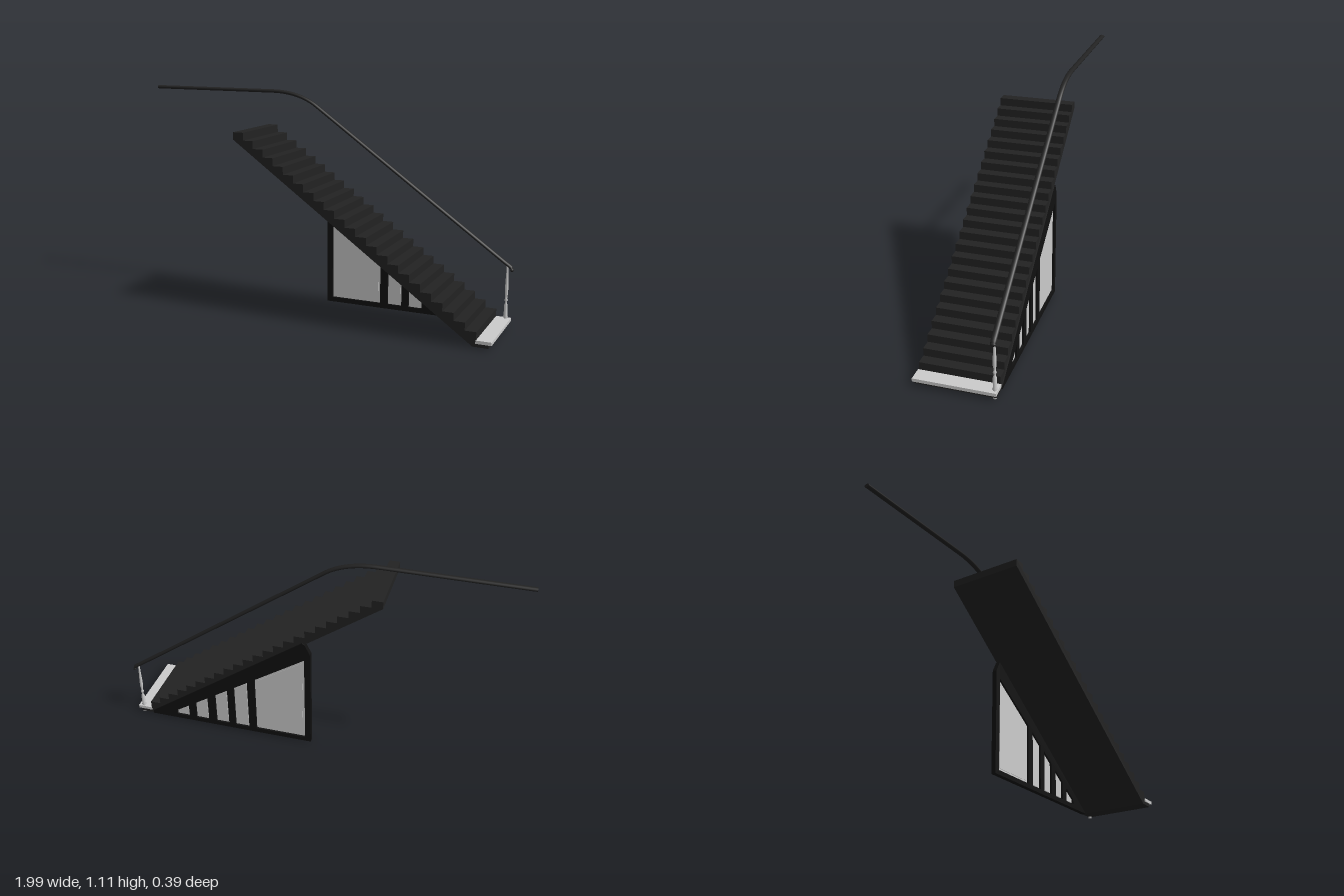
import * as THREE from 'three';

const mat = (color) => new THREE.MeshStandardMaterial({ color, side: THREE.DoubleSide });

export function createModel() {
  const root = new THREE.Group();
  const dark = mat(0x222222), black = mat(0x111111), grey = mat(0xcccccc);

  const add = (name, geometry, material, parent = root) => {
    const mesh = new THREE.Mesh(geometry, material);
    mesh.name = name;
    parent.add(mesh);
    return mesh;
  };
  const toShape = (pts) => new THREE.Shape(pts.map(([x, y]) => new THREE.Vector2(x, y)));
  const slab = (shape, z0, z1) =>
    new THREE.ExtrudeGeometry(shape, { depth: z1 - z0, bevelEnabled: false }).translate(0, 0, z0);

  // Flight of steps: stepped top, straight sloping underside
  const steps = 23, xTop = -0.33, yTop = 0.922, xEnd = 0.912, yEnd = 0.04;
  const run = (xEnd - xTop) / steps, rise = (yTop - yEnd) / steps;
  const profile = [[xTop, 0.885]];
  for (let i = 0; i < steps; i++) {
    const y = yTop - i * rise;
    profile.push([xTop + i * run, y], [xTop + (i + 1) * run, y]);
  }
  profile.push([xEnd, 0.026], [0.97, 0.026], [0.97, 0.008], [0.895, 0.008]);
  add('stairFlight', slab(toShape(profile), -0.185, 0.193), dark);

  // Pale bottom tread
  add('bottomTread', new THREE.BoxGeometry(0.075, 0.016, 0.386).translate(0.9475, 0.033, 0.005), grey);

  // Triangular wall under the flight, with openings cut along the slope
  const wall = new THREE.Group();
  wall.name = 'underStairWall';
  root.add(wall);
  const topLine = (x) => 0.522 - 0.655 * (x - 0.05);
  const panel = (x0, x1, inset) => {
    const a = x0 + inset, b = x1 - inset, d = inset * 1.2;
    return [[a, 0.032 + inset], [b, 0.032 + inset], [b, topLine(b) - d], [a, topLine(a) - d]];
  };
  const openings = [[0.05, 0.315], [0.355, 0.43], [0.467, 0.537], [0.58, 0.65], [0.69, 0.76]];
  const frame = toShape([[0.02, 0.008], [0.9, 0.008], [0.9, 0.025], [0.06, 0.622], [0.047, 0.615], [0.02, 0.56]]);
  for (const [x0, x1] of openings) {
    frame.holes.push(new THREE.Path(toShape(panel(x0, x1, 0)).getPoints()));
  }
  add('wallFrame', slab(frame, -0.19, -0.165), black, wall);
  for (const [x0, x1] of openings) {
    const inset = x1 - x0 > 0.2 ? 0.014 : 0.007;
    add('panel', slab(toShape(panel(x0, x1, 0)), -0.18, -0.175), grey, wall);
    add('raisedPanelField', slab(toShape(panel(x0, x1, inset)), -0.182, -0.173), grey, wall);
  }

  // Turned baluster at the foot of the flight
  const turning = [
    [0, 0], [0.009, 0], [0.009, 0.045], [0.012, 0.047], [0.009, 0.055], [0.009, 0.105], [0.005, 0.115],
    [0.005, 0.125], [0.009, 0.132], [0.005, 0.14], [0.005, 0.15], [0.008, 0.165],
    [0.008, 0.2], [0.005, 0.27], [0.005, 0.31], [0, 0.31],
  ].map(([r, y]) => new THREE.Vector2(r, y));
  add('baluster', new THREE.LatheGeometry(turning, 16), grey).position.set(0.96, 0, -0.175);

  // Handrail: level, bend, slope, and a small downturned end
  const v = (x, y) => new THREE.Vector3(x, y, 0);
  const path = new THREE.CurvePath();
  path.add(new THREE.LineCurve3(v(-1, 1.097), v(-0.3, 1.097)));
  path.add(new THREE.QuadraticBezierCurve3(v(-0.3, 1.097), v(-0.148, 1.097), v(-0.05, 1.028)));
  path.add(new THREE.LineCurve3(v(-0.05, 1.028), v(0.95, 0.315)));
  path.add(new THREE.QuadraticBezierCurve3(v(0.95, 0.315), v(0.989, 0.292), v(0.982, 0.284)));
  const rail = new THREE.Group();
  rail.name = 'handrail';
  rail.position.z = -0.177;
  rail.scale.z = 1.5;
  root.add(rail);
  const r = 0.009;
  add('railBar', new THREE.TubeGeometry(path, 160, r, 14), dark, rail);
  add('railUpperEnd', new THREE.CircleGeometry(r, 14).rotateY(-Math.PI / 2), dark, rail).position.set(-1, 1.097, 0);
  add('railLowerEnd', new THREE.SphereGeometry(r, 14, 10), dark, rail).position.set(0.982, 0.284, 0);

  return root;
}
